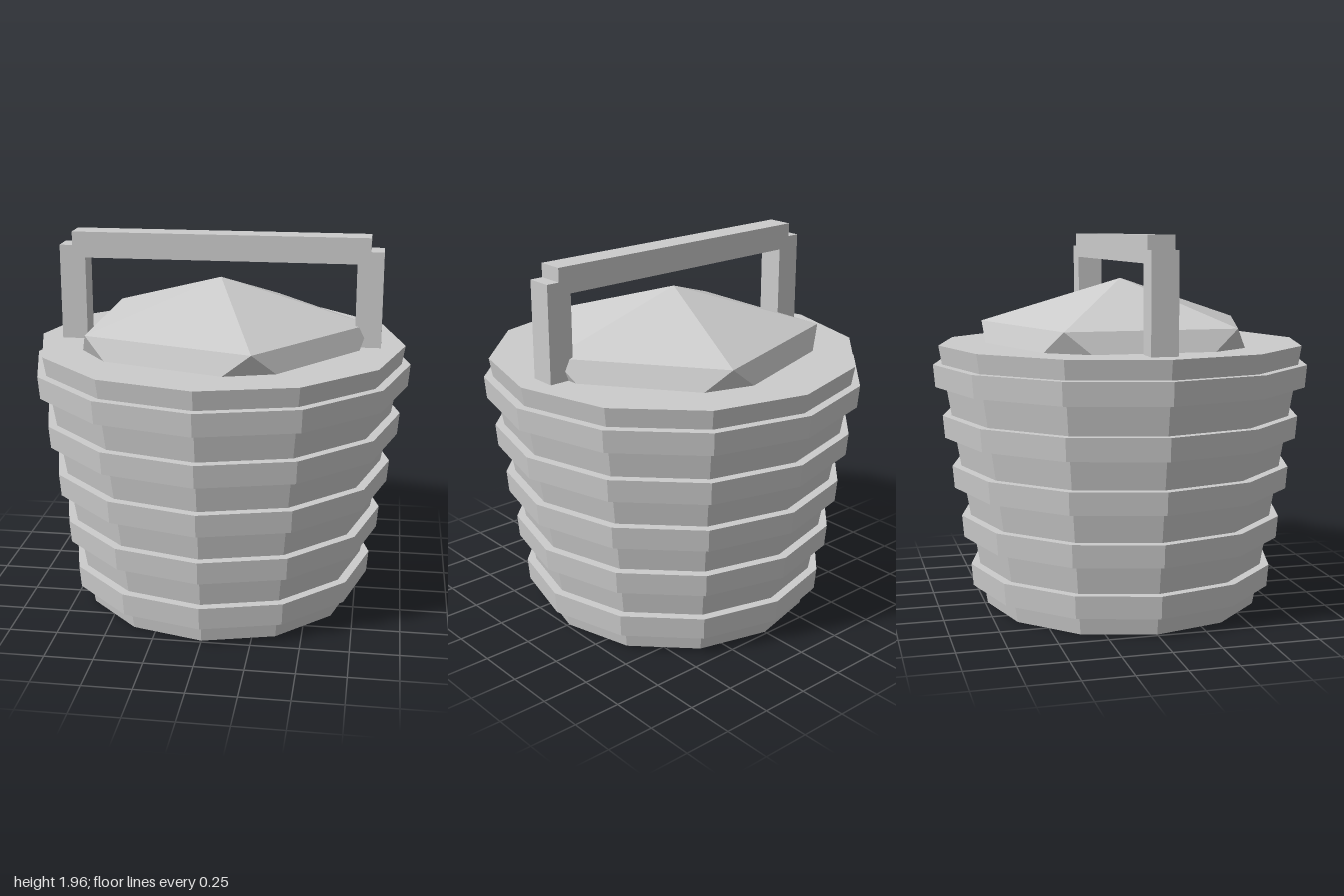
import * as THREE from 'three';

const SIDES = 12;

export function createModel() {
  const grey = new THREE.MeshStandardMaterial({ color: 0xcccccc, flatShading: true });
  grey.name = 'lightGrey';

  const model = new THREE.Group();
  model.name = 'lidded basket';

  const add = (name, geometry, x, y, z) => {
    const mesh = new THREE.Mesh(geometry, grey);
    mesh.name = name;
    mesh.position.set(x, y, z);
    model.add(mesh);
    return mesh;
  };

  // Tapered twelve-sided tub
  add('tub', new THREE.CylinderGeometry(0.97, 0.735, 1.392, SIDES), 0, 0.696, 0);

  // Five raised hoops, widening with the tub
  for (let i = 0; i < 5; i++) {
    const top = 0.82 + i * 0.045;
    const hoop = new THREE.CylinderGeometry(top, top - 0.01, 0.117, SIDES);
    add('hoop' + (i + 1), hoop, 0, 0.161 + i * 0.2685, 0);
  }

  // Faceted lid: a flattened icosahedron, one corner up, sunk into the tub
  const lid = new THREE.IcosahedronGeometry(1, 0);
  lid.rotateX(-Math.atan((1 + Math.sqrt(5)) / 2));
  lid.rotateY(Math.PI / 2);
  lid.scale(0.87, 0.416, 0.835);
  add('lid', lid, 0, 1.314, 0);

  // Handle: two posts and a crossbar that stands slightly proud of them
  for (const side of [-1, 1]) {
    const name = side > 0 ? 'leftHandlePost' : 'rightHandlePost';
    add(name, new THREE.BoxGeometry(0.135, 0.55, 0.136), side * 0.775, 1.615, 0);
  }
  add('handleBar', new THREE.BoxGeometry(1.55, 0.135, 0.136), 0, 1.893, 0);

  return model;
}
